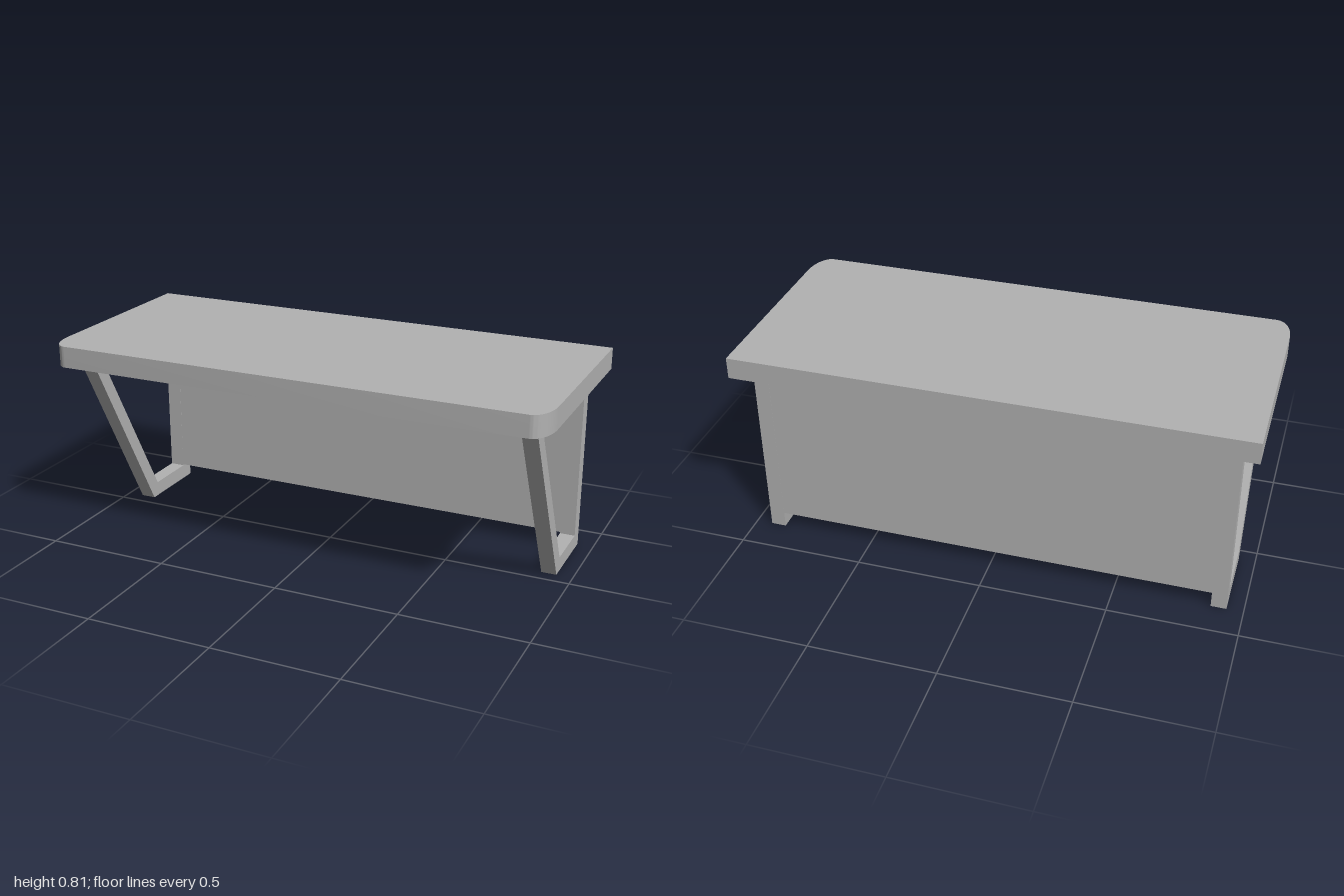
import * as THREE from 'three';
import { toCreasedNormals } from 'three/addons/utils/BufferGeometryUtils.js';

export function createModel() {
  const desk = new THREE.Group();
  desk.name = 'desk';
  const grey = new THREE.MeshStandardMaterial({ color: 0xb2b2b2 });
  grey.name = 'grey';

  function add(name, geometry) {
    const mesh = new THREE.Mesh(geometry, grey);
    mesh.name = name;
    desk.add(mesh);
    return mesh;
  }

  // Desktop: square at the back, elliptical corners at the front (shape y is -z)
  const rx = 0.065, rz = 0.125, depth = 0.44;
  const outline = new THREE.Shape();
  outline.moveTo(1, depth);
  outline.lineTo(-1, depth);
  outline.lineTo(-1, -depth + rz);
  outline.absellipse(-1 + rx, -depth + rz, rx, rz, Math.PI, 1.5 * Math.PI, false);
  outline.lineTo(1 - rx, -depth);
  outline.absellipse(1 - rx, -depth + rz, rx, rz, 1.5 * Math.PI, 2 * Math.PI, false);
  outline.closePath();
  const slab = new THREE.ExtrudeGeometry(outline, { depth: 0.085, bevelEnabled: false, curveSegments: 10 });
  slab.rotateX(-Math.PI / 2).translate(0, 0.73, 0);
  add('desktop', toCreasedNormals(slab, 0.6));

  // Side frames: top rail, slanted front leg, foot and upright in one profile of (z, y)
  const profile = [
    [0.316, 0.73], [0.316, 0.69], [-0.055, 0], [-0.365, 0], [-0.366, 0.73], [-0.305, 0.73],
    [-0.307, 0.06], [-0.087, 0.06], [0.255, 0.69], [-0.242, 0.69], [-0.242, 0.73],
  ].map(([z, y]) => new THREE.Vector2(z, y));
  const width = 0.06;
  const frame = new THREE.ExtrudeGeometry(new THREE.Shape(profile), { depth: width, bevelEnabled: false });
  frame.translate(0, 0, -width / 2).rotateY(-Math.PI / 2);
  for (const side of [1, -1]) {
    add(side > 0 ? 'leftLegFrame' : 'rightLegFrame', frame).position.x = side * 0.905;
  }

  // Back panel between the uprights
  add('backPanel', new THREE.BoxGeometry(1.75, 0.665, 0.058)).position.set(0, 0.3975, -0.336);

  return desk;
}
